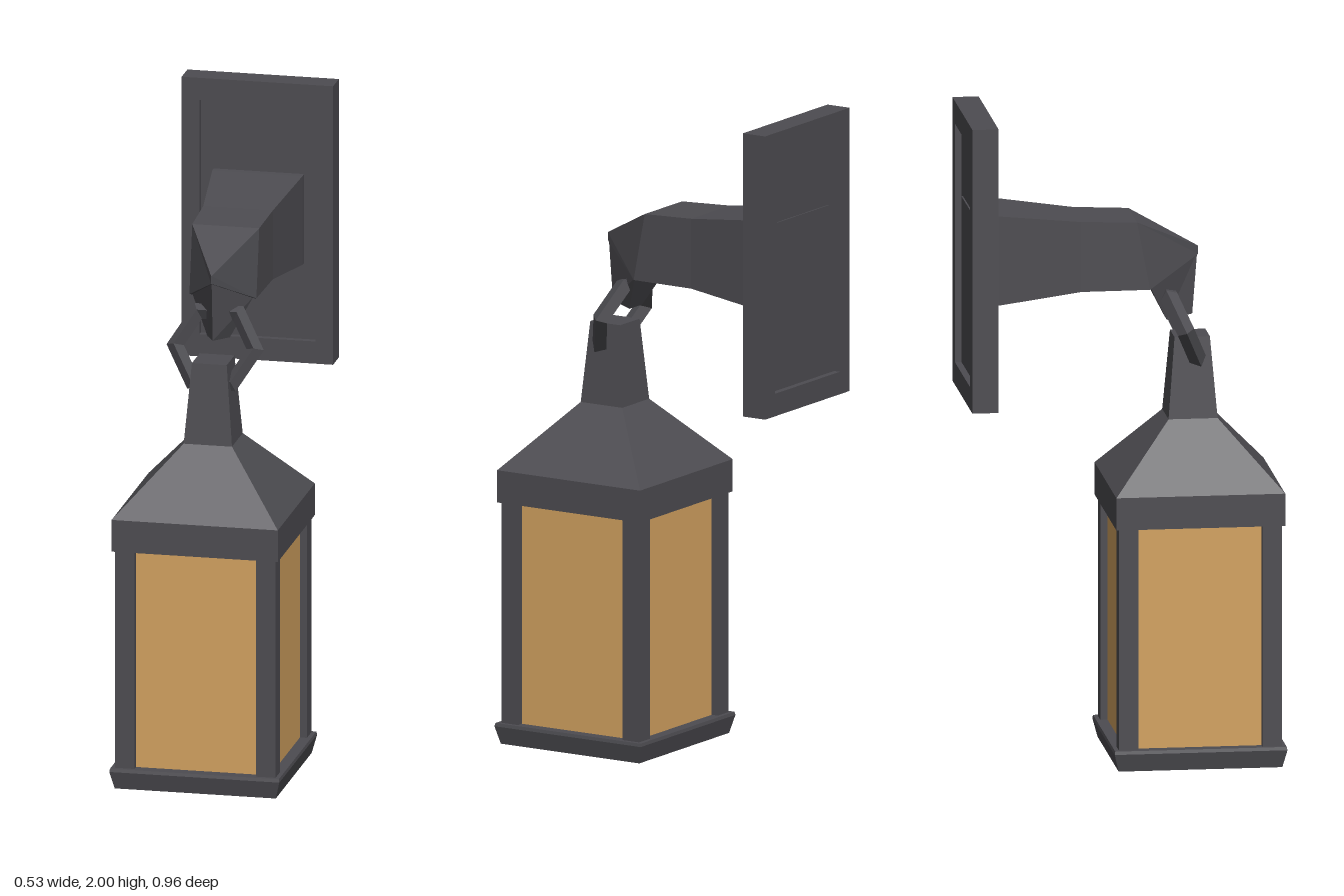
import * as THREE from 'three';

// Joins equal-sized rings of points into a closed, faceted solid.
// Each ring runs anticlockwise when seen from the last ring's end.
function loft(rings) {
  const out = [];
  const tri = (a, b, c) => out.push(...a, ...b, ...c);
  const n = rings[0].length;
  for (let r = 0; r + 1 < rings.length; r++) {
    for (let i = 0; i < n; i++) {
      const j = (i + 1) % n;
      const a = rings[r], b = rings[r + 1];
      tri(a[i], a[j], b[j]);
      tri(a[i], b[j], b[i]);
    }
  }
  const first = rings[0], last = rings[rings.length - 1];
  for (let i = 1; i + 1 < n; i++) {
    tri(first[0], first[i + 1], first[i]);
    tri(last[0], last[i], last[i + 1]);
  }
  const geo = new THREE.BufferGeometry();
  geo.setAttribute('position', new THREE.Float32BufferAttribute(out, 3));
  geo.computeVertexNormals();
  return geo;
}

// Horizontal square ring of half-width h at height y
const square = (h, y) => [[-h, y, h], [h, y, h], [h, y, -h], [-h, y, -h]];
// Upright rectangle ring; its lower edge may sit at a different depth
const upright = (h, y0, y1, zTop, zLow = zTop) =>
  [[-h, y0, zLow], [h, y0, zLow], [h, y1, zTop], [-h, y1, zTop]];

export function createModel() {
  const iron = new THREE.MeshStandardMaterial({ color: 0x4d4c51 });
  iron.name = 'dark iron';
  const amber = new THREE.MeshStandardMaterial({ color: 0xd3a260 });
  amber.name = 'amber glass';

  const model = new THREE.Group();
  model.name = 'wallLantern';
  const add = (parent, name, geo, mat, x = 0, y = 0, z = 0) => {
    const mesh = new THREE.Mesh(geo, mat);
    mesh.name = name;
    mesh.position.set(x, y, z);
    parent.add(mesh);
    return mesh;
  };

  // Wall plate: raised frame around a sunken panel
  const rect = (Type, w, h) => new Type([
    new THREE.Vector2(-w, -h), new THREE.Vector2(w, -h),
    new THREE.Vector2(w, h), new THREE.Vector2(-w, h)]);
  const frame = rect(THREE.Shape, 0.235, 0.44);
  frame.holes.push(rect(THREE.Path, 0.18, 0.37));
  add(model, 'plateFrame', new THREE.ExtrudeGeometry(frame, { depth: 0.08, bevelEnabled: false }),
    iron, 0, 1.56, -0.48);
  add(model, 'platePanel', new THREE.BoxGeometry(0.36, 0.74, 0.04), iron, 0, 1.56, -0.44);

  // Tapering arm with a wedge-shaped nose
  add(model, 'arm', loft([
    upright(0.142, 1.427, 1.713, -0.465),
    upright(0.14, 1.43, 1.71, -0.4),
    upright(0.108, 1.46, 1.677, -0.13),
    upright(0.104, 1.46, 1.67, 0.04, 0.08),
    upright(0.001, 1.545, 1.57, 0.24),
  ]), iron);

  // Three-sided hook under the nose
  add(model, 'hook', loft([
    [[0.035, 1.35, 0.14], [-0.035, 1.35, 0.14], [0, 1.36, 0.222]],
    [[0.095, 1.465, 0.082], [-0.095, 1.465, 0.082], [0, 1.55, 0.237]],
  ]), iron);

  // Tilted six-sided chain link
  const linkGeo = new THREE.TorusGeometry(0.124, 0.027, 4, 6).toNonIndexed();
  linkGeo.computeVertexNormals();
  add(model, 'chainLink', linkGeo, iron, 0, 1.33, 0.187).rotation.x = -0.42;

  // Lantern, hung forward of the plate
  const lantern = new THREE.Group();
  lantern.name = 'lantern';
  lantern.position.z = 0.215;
  model.add(lantern);

  add(lantern, 'base', loft([square(0.25, 0), square(0.264, 0.055), square(0.262, 0.065)]), iron);
  add(lantern, 'roof', loft([
    square(0.258, 0.75), square(0.258, 0.85), square(0.075, 1.05), square(0.054, 1.3),
  ]), iron);

  // Corner posts
  for (const sx of [-1, 1]) {
    for (const sz of [-1, 1]) {
      add(lantern, 'cornerPost', new THREE.BoxGeometry(0.06, 0.7, 0.06),
        iron, sx * 0.219, 0.41, sz * 0.219);
    }
  }

  // Glass box set just behind the post faces
  add(lantern, 'glass', new THREE.BoxGeometry(0.454, 0.7, 0.454), amber, 0, 0.41, 0);

  return model;
}
